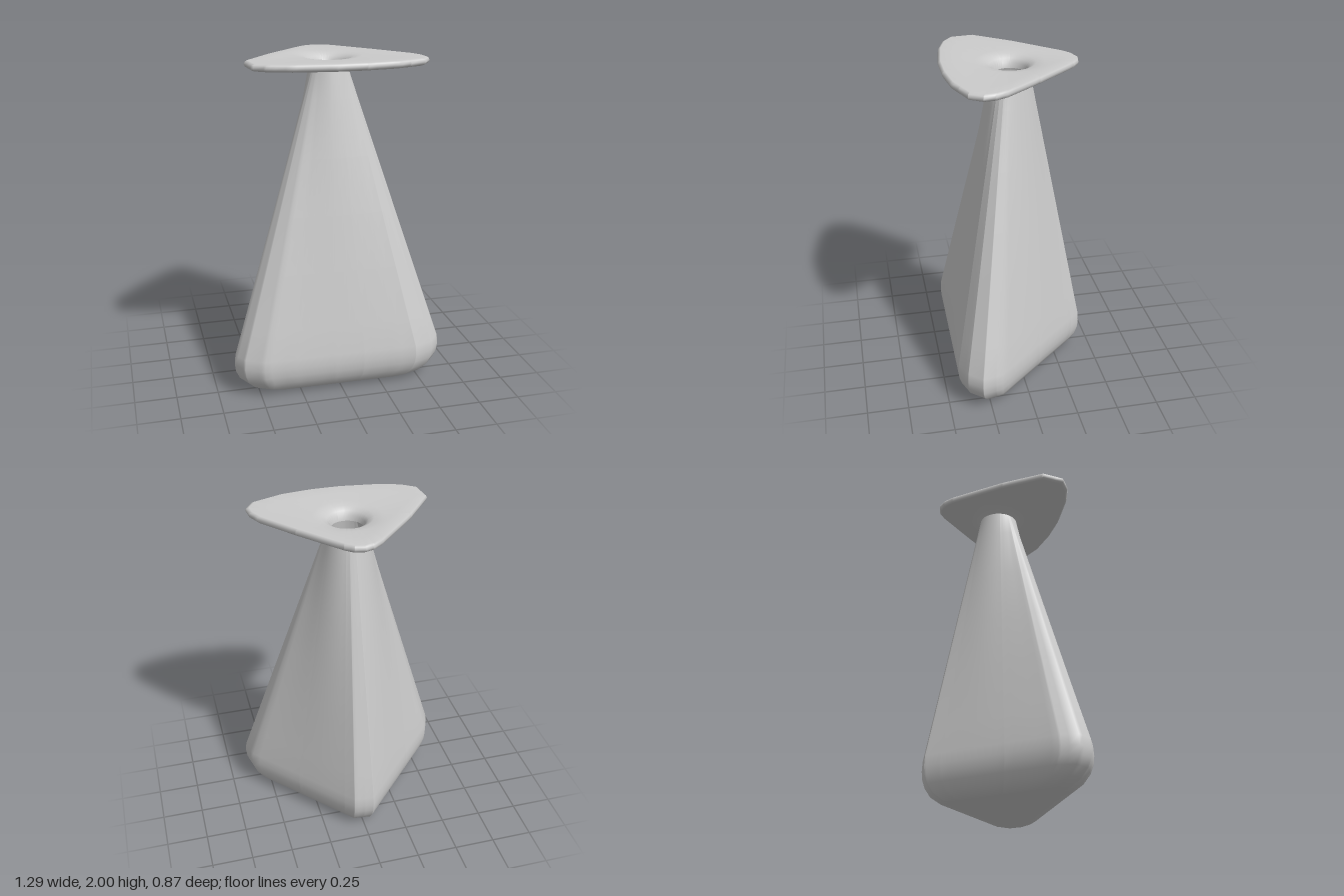
import * as THREE from 'three';

const CZ = 0.02; // axis of the neck in z

// Rounded-triangle outlines, as [x, z] corners
const BASE = [[-0.05, -0.437], [0.07, -0.425], [0.615, 0.185], [0.643, 0.305], [0.57, 0.39], [0.46, 0.43],
  [-0.485, 0.42], [-0.60, 0.36], [-0.645, 0.275], [-0.60, 0.17]];
const RIM = [[0.01, -0.38], [0.065, -0.367], [0.11, -0.33], [0.32, -0.09], [0.495, 0.125], [0.53, 0.2],
  [0.537, 0.265], [0.49, 0.335], [0.31, 0.4], [0.12, 0.423], [-0.06, 0.423], [-0.3, 0.392], [-0.43, 0.35],
  [-0.505, 0.295], [-0.52, 0.16], [-0.35, -0.06], [-0.1, -0.325], [-0.05, -0.362]];

// Distance from the axis to an outline in direction a (a = 0 is the front, rising toward +x)
function reach(outline, a) {
  const dx = Math.sin(a), dz = Math.cos(a);
  let best = 0;
  outline.forEach(([x1, z1], i) => {
    const [x2, z2] = outline[(i + 1) % outline.length];
    const ex = x2 - x1, ez = z2 - z1, px = x1, pz = z1 - CZ;
    const det = dz * ex - dx * ez;
    if (Math.abs(det) < 1e-9) return;
    const t = (ex * pz - ez * px) / det;
    const s = (dx * pz - dz * px) / det;
    if (t > 0 && s > -1e-6 && s < 1 + 1e-6) best = Math.max(best, t);
  });
  return best;
}

// Even directions plus every outline corner, so the corners stay exact
const angles = [];
for (let i = 0; i < 60; i++) angles.push((i / 60) * Math.PI * 2);
for (const [x, z] of [...BASE, ...RIM]) {
  angles.push((Math.atan2(x, z - CZ) + Math.PI * 2) % (Math.PI * 2));
}
angles.sort((a, b) => a - b);
const dirs = angles.filter((a, i) => i === 0 || a - angles[i - 1] > 0.004);

// Cross-section makers: each returns { y, r(angle) }
const circle = (r, y) => ({ y, r: () => r });
const scaled = (outline, k, y, inset = 0) => ({ y, r: (a) => reach(outline, a) * k - inset });
const blend = (from, to, t) => ({
  y: from.y + (to.y - from.y) * t,
  r: (a) => from.r(a) + (to.r(a) - from.r(a)) * t,
});

// Skin a stack of cross-sections
function loft(name, rings, material) {
  const n = dirs.length, pos = [], index = [];
  rings.forEach((ring, i) => {
    dirs.forEach((a, j) => {
      const r = ring.r(a);
      pos.push(r * Math.sin(a), ring.y, CZ + r * Math.cos(a));
      if (i === rings.length - 1) return;
      const k = (j + 1) % n, p = i * n, q = p + n;
      index.push(p + j, p + k, q + k, p + j, q + k, q + j);
    });
  });
  const geo = new THREE.BufferGeometry();
  geo.setAttribute('position', new THREE.Float32BufferAttribute(pos, 3));
  geo.setIndex(index);
  geo.computeVertexNormals();
  const mesh = new THREE.Mesh(geo, material);
  mesh.name = name;
  return mesh;
}

export function createModel() {
  const group = new THREE.Group();
  group.name = 'vase';
  const mat = new THREE.MeshStandardMaterial({ color: 0xcccccc, side: THREE.DoubleSide });

  // Body: flat foot, rounded bottom edge, straight taper to a round neck
  const shoulder = scaled(BASE, 0.992, 0.25);
  const neck = circle(0.118, 1.92);
  const taper = [0, 0.1, 0.3, 0.5, 0.7, 0.9, 1].map((t) => blend(shoulder, neck, t));
  group.add(loft('body', [
    circle(0, 0),
    scaled(BASE, 0.6, 0),
    scaled(BASE, 0.74, 0),
    scaled(BASE, 0.88, 0.04),
    scaled(BASE, 0.955, 0.09),
    scaled(BASE, 0.99, 0.14),
    scaled(BASE, 1, 0.19),
    ...taper,
  ], mat));

  // Flared top: underside flare, rounded rim, slightly dished plate, funnel mouth
  group.add(loft('flaredTop', [
    neck,
    circle(0.145, 1.937),
    circle(0.19, 1.951),
    scaled(RIM, 0.7, 1.957),
    scaled(RIM, 0.96, 1.957),
    scaled(RIM, 0.988, 1.965),
    scaled(RIM, 1, 1.979),
    scaled(RIM, 0.988, 1.993),
    scaled(RIM, 0.96, 2),
    scaled(RIM, 0.75, 1.997),
    circle(0.2, 1.992),
    circle(0.15, 1.985),
    circle(0.118, 1.968),
    circle(0.102, 1.945),
    circle(0.096, 1.915),
  ], mat));

  // Hollow inside: follows the body wall down to the floor
  const throat = circle(0.096, 1.915);
  const bottom = scaled(BASE, 0.992, 0.25, 0.035);
  group.add(loft('interior', [
    ...[0, 0.3, 0.6, 1].map((t) => blend(throat, bottom, t)),
    scaled(BASE, 0.95, 0.15, 0.035),
    scaled(BASE, 0.74, 0.04, 0.02),
    circle(0, 0.04),
  ], mat));

  return group;
}
